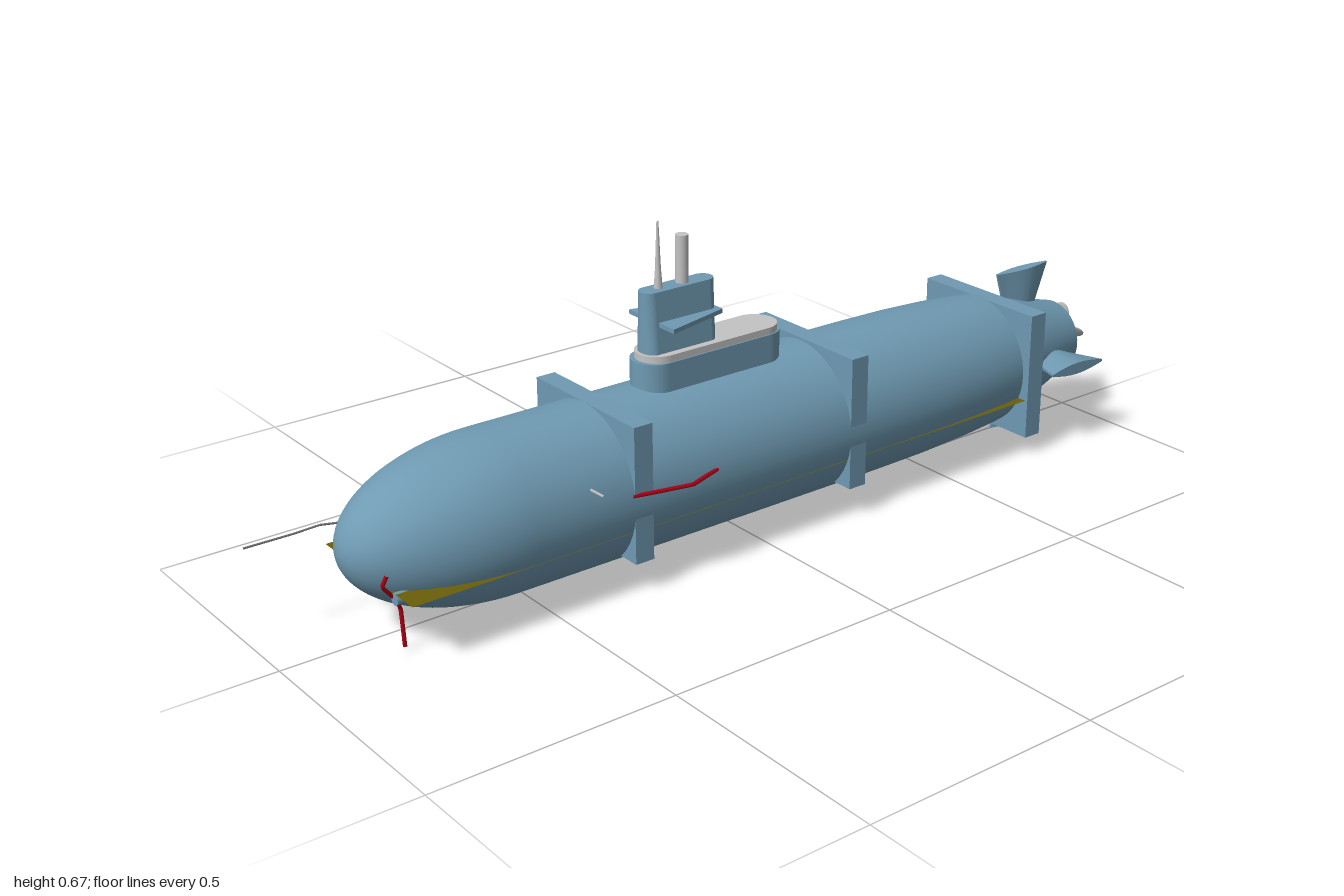
import * as THREE from 'three';

export function createModel() {
  const model = new THREE.Group();
  const mat = (name, color, extra = {}) => {
    const m = new THREE.MeshStandardMaterial({ color, ...extra });
    m.name = name;
    return m;
  };
  const blue = mat('hullBlue', 0x6f9ab2);
  const grey = mat('lightGrey', 0xc4c4c4);
  const darkGrey = mat('wireGrey', 0x777777);
  const red = mat('red', 0xb00014);
  const olive = mat('olive', 0x6b5f08, { side: THREE.DoubleSide });
  const CY = 0.183; // height of the hull axis

  const add = (name, geo, material, x = 0, y = 0, z = 0, parent = model) => {
    const m = new THREE.Mesh(geo, material);
    m.name = name;
    m.position.set(x, y, z);
    parent.add(m);
    return m;
  };
  // Solid of revolution along z, points given as [radius, z] from back to front
  const lathe = (pts, seg = 48) =>
    new THREE.LatheGeometry(pts.map(p => new THREE.Vector2(...p)), seg).rotateX(Math.PI / 2);
  const path = (name, pts, radius, material, sides = 6) => {
    const curve = new THREE.CurvePath();
    const v = pts.map(p => new THREE.Vector3(...p));
    for (let i = 1; i < v.length; i++) curve.add(new THREE.LineCurve3(v[i - 1], v[i]));
    return add(name, new THREE.TubeGeometry(curve, 24, radius, sides), material);
  };

  // Hull with rounded nose
  const profile = [[0.138, -0.755], [0.147, -0.68], [0.154, -0.59], [0.159, -0.48], [0.161, -0.35], [0.162, 0], [0.162, 0.35]];
  for (let i = 0; i <= 20; i++) {
    const a = (i / 20) * Math.PI / 2;
    profile.push([Math.max(0.162 * Math.cos(a), 0), 0.55 + 0.318 * Math.sin(a)]);
  }
  add('hull', lathe(profile), blue, 0, CY);

  // Tail cone, its end ring and the recessed end
  add('tailCone', lathe([[0.08, -0.948], [0.095, -0.89], [0.134, -0.755]]), blue, 0, CY);
  add('tailRing', lathe([[0.068, -0.948], [0.08, -0.948]]), blue, 0, CY);
  add('tailRecessWall', lathe([[0.068, -0.925], [0.068, -0.948]]), blue, 0, CY);
  add('tailRecess', lathe([[0.012, -0.95], [0.03, -0.94], [0.068, -0.925]]), blue, 0, CY);

  // Square slabs around the hull
  [[0.315, 0.065, 0.345], [-0.22, 0.068, 0.35], [-0.73, 0.045, 0.325]].forEach(([z, lo, hi]) =>
    add('squareFrame', new THREE.BoxGeometry(0.322, hi - lo, 0.042), blue, -0.001, (lo + hi) / 2, z));

  // Flat plate through the hull
  add('flatPlate', new THREE.PlaneGeometry(0.316, 1.53).rotateX(-Math.PI / 2), olive, -0.004, 0.13, 0.047);

  // Tail fins: lens section, tapering to the tip
  const fin = new THREE.BoxGeometry(1, 1, 1, 1, 1, 8);
  const p = fin.attributes.position;
  for (let i = 0; i < p.count; i++) {
    const u = p.getY(i) + 0.5, v = p.getZ(i) + 0.5;
    const front = THREE.MathUtils.lerp(-0.80, -0.762, u);
    const back = THREE.MathUtils.lerp(-0.87, -0.917, u);
    const thick = THREE.MathUtils.lerp(0.04, 0.026, u) * (0.2 + 0.8 * Math.sin(Math.PI * v));
    p.setXYZ(i, p.getX(i) * thick, 0.065 + 0.117 * u, THREE.MathUtils.lerp(back, front, v));
  }
  fin.computeVertexNormals();
  for (let i = 0; i < 4; i++) add('tailFin', fin, blue, 0, CY).rotation.z = i * Math.PI / 2;

  // Propeller
  const propeller = new THREE.Group();
  propeller.name = 'propeller';
  propeller.position.set(0, CY, -0.975);
  model.add(propeller);
  add('hub', new THREE.CylinderGeometry(0.012, 0.007, 0.06, 16).rotateX(Math.PI / 2), grey, 0, 0, 0.006, propeller);
  for (let i = 0; i < 5; i++) {
    const blade = new THREE.SphereGeometry(1, 14, 10).scale(0.02, 0.033, 0.003)
      .rotateY(0.7).translate(0, 0.039, 0).rotateZ(i * Math.PI * 0.4);
    add('blade', blade, grey, 0, 0, 0, propeller);
  }

  // Upright block with rounded ends, from z0 (back) to z1 (front)
  const stadium = (hw, z0, z1, height) => {
    const s = new THREE.Shape();
    s.absarc(0, -z0 - hw, hw, 0, Math.PI, false);
    s.absarc(0, -z1 + hw, hw, Math.PI, Math.PI * 2, false);
    s.closePath();
    return new THREE.ExtrudeGeometry(s, { depth: height, bevelEnabled: false, curveSegments: 16 })
      .rotateX(-Math.PI / 2);
  };
  add('sailBase', stadium(0.048, -0.13, 0.217, 0.085), blue, -0.002, 0.312);
  add('sailRim', stadium(0.045, -0.125, 0.207, 0.015), grey, -0.002, 0.396);

  // Tower, wider at its foot
  const tower = stadium(0.021, 0.03, 0.2, 0.125);
  const t = tower.attributes.position;
  for (let i = 0; i < t.count; i++) t.setX(i, t.getX(i) * (1.4 - 0.4 * t.getY(i) / 0.125));
  tower.computeVertexNormals();
  add('tower', tower, blue, -0.002, 0.409);

  // Tower planes
  const planes = new THREE.Shape([[-0.036, -0.03], [-0.072, -0.175], [0.072, -0.175], [0.036, -0.03]]
    .map(c => new THREE.Vector2(...c)));
  add('towerPlanes', new THREE.ExtrudeGeometry(planes, { depth: 0.009, bevelEnabled: false })
    .rotateX(-Math.PI / 2), blue, -0.002, 0.465);

  // Masts
  add('mast', new THREE.CylinderGeometry(0.013, 0.013, 0.11, 20), grey, -0.003, 0.575, 0.1);
  add('periscopeFoot', new THREE.CylinderGeometry(0.006, 0.009, 0.04, 12), grey, -0.003, 0.55, 0.157);
  add('periscope', new THREE.CylinderGeometry(0.002, 0.006, 0.1, 12), grey, -0.003, 0.617, 0.157);

  // Nose tubes
  [-0.094, 0.09].forEach(x =>
    add('noseTube', new THREE.CylinderGeometry(0.012, 0.012, 0.05, 16).rotateX(Math.PI / 2), blue, x, 0.119, 0.787));

  // Nose wire, loose red strips and the small side strip
  path('noseWire', [[-0.09, 0.2, 0.8], [-0.103, 0.203, 0.85], [-0.107, 0.199, 0.9], [-0.107, 0.2, 1]], 0.0022, darkGrey);
  path('noseStrip', [[0.091, 0.17, 0.825], [0.086, 0.148, 0.833], [0.081, 0.118, 0.808], [0.07, 0.086, 0.79], [0.074, 0.01, 0.788]], 0.004, red);
  path('sideStrip', [[0.157, 0.207, 0.34], [0.179, 0.204, 0.215], [0.157, 0.207, 0.14]], 0.0045, red);
  path('sideTag', [[0.148, 0.243, 0.428], [0.171, 0.234, 0.415]], 0.003, grey);

  return model;
}
